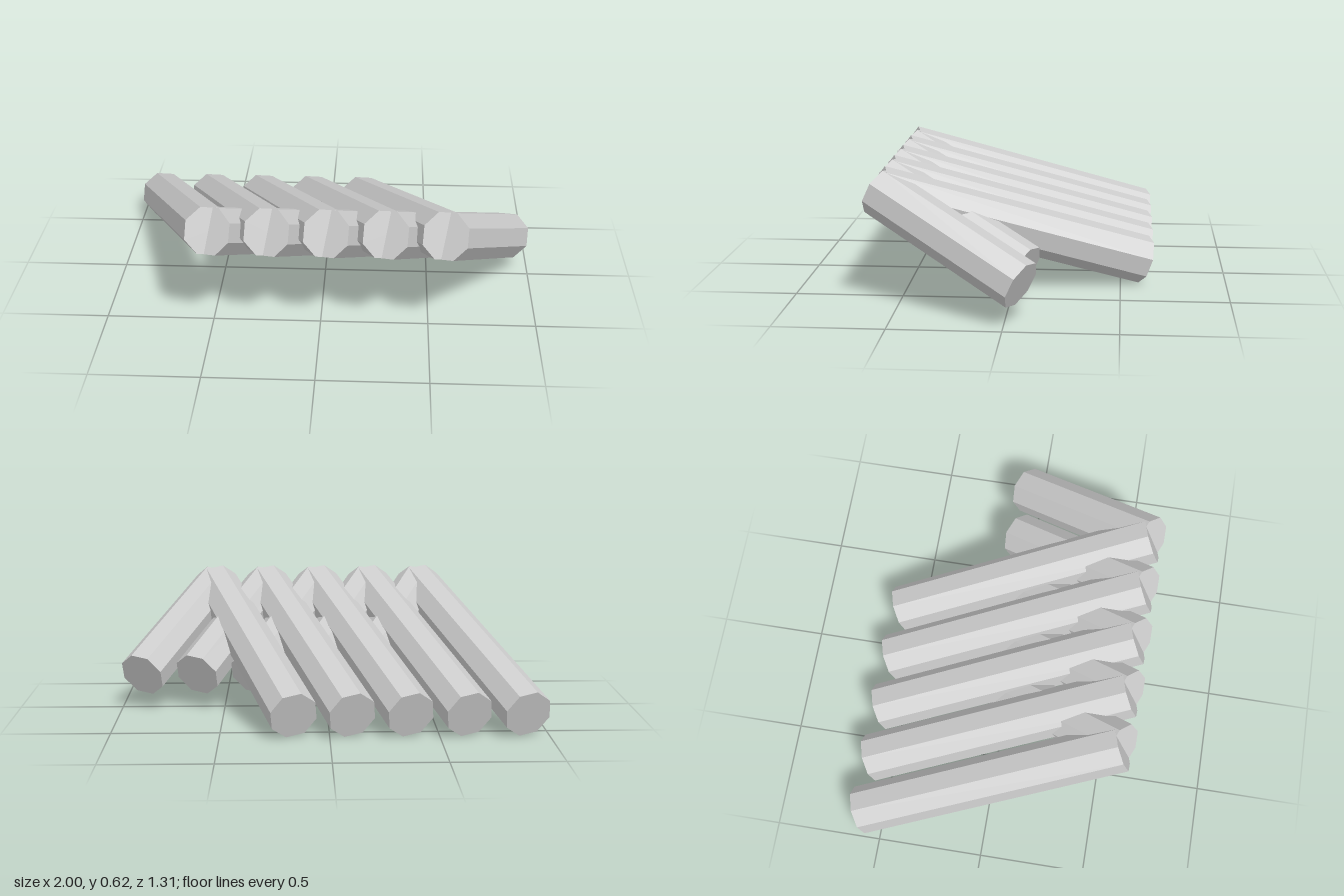
import * as THREE from 'three';

// Row of five V-shaped pairs of octagonal bars, each pair meeting at a raised front apex.
export function createModel() {
  const model = new THREE.Group();
  const grey = new THREE.MeshStandardMaterial({ color: 0xcccccc });
  grey.name = 'lightGrey';

  const radius = 0.115;
  const pairs = 5;
  const spacing = 0.265;
  const apex = new THREE.Vector3(-0.497, 0.51, 0.591);
  const xAxis = new THREE.Vector3(1, 0, 0);

  // Octagonal bar from the apex to its lower rear end
  function makeBar(name, run, rollAxis) {
    const geometry = new THREE.CylinderGeometry(radius, radius, run.length(), 8)
      .rotateZ(-Math.PI / 2)
      .toNonIndexed();
    geometry.computeVertexNormals(); // flat facets
    const bar = new THREE.Mesh(geometry, grey);
    bar.name = name;
    bar.quaternion.setFromUnitVectors(xAxis, rollAxis.clone().normalize());
    bar.position.copy(run).multiplyScalar(0.5);
    return bar;
  }

  const longRun = new THREE.Vector3(-0.4, -0.402, -1.2);
  const shortRun = new THREE.Vector3(0.332, -0.332, -0.664);

  for (let i = 0; i < pairs; i++) {
    const pair = new THREE.Group();
    pair.name = `barPair${i + 1}`;
    pair.add(makeBar('longBar', longRun, longRun.clone().negate()));
    pair.add(makeBar('shortBar', shortRun, shortRun));
    pair.position.copy(apex);
    pair.position.x += i * spacing;
    model.add(pair);
  }
  return model;
}
